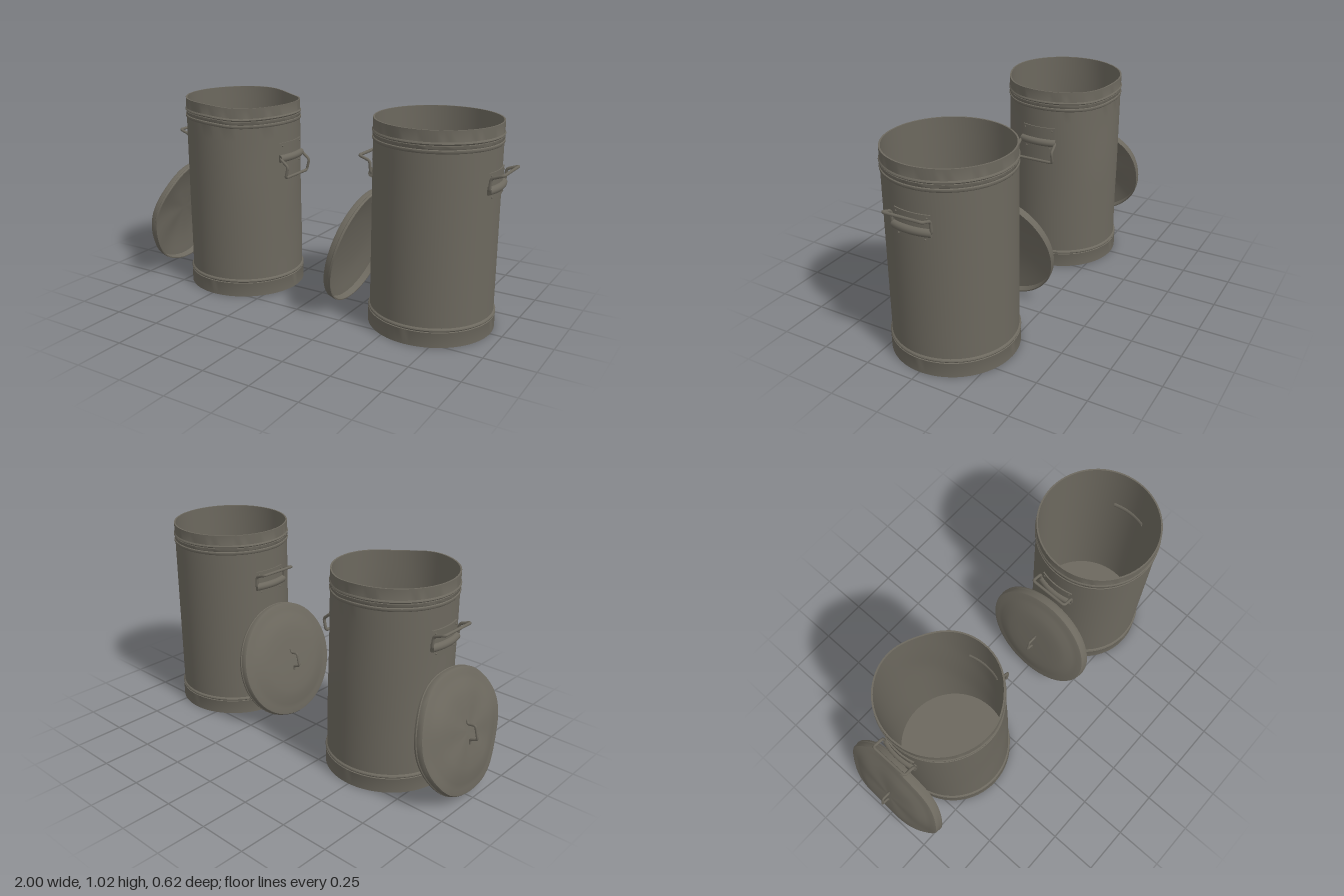
import * as THREE from 'three';
import { toCreasedNormals } from 'three/addons/utils/BufferGeometryUtils.js';

const metal = new THREE.MeshStandardMaterial({ color: 0x6c685e });
metal.name = 'dull metal';

function part(name, geometry, parent) {
  const mesh = new THREE.Mesh(geometry, metal);
  mesh.name = name;
  parent.add(mesh);
  return mesh;
}

// Turned shape; an optional rule moves the vertices to dent it
function turned(profile, dent) {
  const geo = new THREE.LatheGeometry(profile.map(([r, y]) => new THREE.Vector2(r, y)), 64);
  if (dent) {
    const pos = geo.attributes.position;
    const v = new THREE.Vector3();
    for (let i = 0; i < pos.count; i++) {
      dent(v.fromBufferAttribute(pos, i));
      pos.setXYZ(i, v.x, v.y, v.z);
    }
  }
  return toCreasedNormals(geo, 0.6);
}

// Wire following a polyline with rounded corners
function wire(points, corner, radius) {
  const p = points.map(a => new THREE.Vector3(...a));
  const path = new THREE.CurvePath();
  let from = p[0];
  for (let i = 1; i < p.length - 1; i++) {
    const a = p[i].clone().add(p[i - 1].clone().sub(p[i]).setLength(corner));
    const b = p[i].clone().add(p[i + 1].clone().sub(p[i]).setLength(corner));
    path.add(new THREE.LineCurve3(from, a));
    path.add(new THREE.QuadraticBezierCurve3(a, p[i], b));
    from = b;
  }
  path.add(new THREE.LineCurve3(from, p[p.length - 1]));
  return new THREE.TubeGeometry(path, 90, radius, 8);
}

// Thin plate wrapped round the can, centred on +x
function curvedPlate(y0, y1, halfAngle, r) {
  const profile = [[0.296, y0], [r, y0], [r, y1], [0.296, y1]].map(a => new THREE.Vector2(...a));
  return toCreasedNormals(new THREE.LatheGeometry(profile, 12, Math.PI / 2 - halfAngle, 2 * halfAngle), 0.6);
}

function makeHandle(wireAngle) {
  const g = new THREE.Group();
  g.name = 'sideHandle';
  part('bracketPlate', curvedPlate(0.74, 0.812, 0.305, 0.308), g);
  part('bracketFlap', curvedPlate(0.686, 0.72, 0.265, 0.308), g);

  // Rolled sleeve that holds the wire
  const half = 0.317, R = 0.307, tube = 0.02;
  const roll = new THREE.TorusGeometry(R, tube, 14, 16, 2 * half);
  roll.rotateX(Math.PI / 2).rotateY(half).translate(0, 0.731, 0);
  part('bracketRoll', roll, g);
  for (const s of [1, -1]) {
    const cap = part('rollEnd', new THREE.CircleGeometry(tube, 14), g);
    cap.position.set(R * Math.cos(half), 0.731, s * R * Math.sin(half));
    cap.rotation.y = s > 0 ? -half : Math.PI + half;
    for (const [y, z] of [[0.797, 0.078], [0.697, 0.068]]) {
      const rivet = part('rivet', new THREE.SphereGeometry(0.005, 8, 6), g);
      rivet.position.set(Math.sqrt(0.308 ** 2 - z * z), y, s * z);
    }
  }

  // Swinging wire grip
  const side = [[0, 0, 0.07], [0, 0, 0.1], [0.006, 0.06, 0.1], [0.064, 0.08, 0.1]];
  const mirrored = side.map(([x, y, z]) => [x, y, -z]).reverse();
  const grip = part('wireGrip', wire([...side, ...mirrored], 0.014, 0.0075), g);
  grip.position.set(0.298, 0.733, 0);
  grip.rotation.z = wireAngle;
  return g;
}

function makeCan(dent, rightWireAngle) {
  const g = new THREE.Group();
  g.name = 'can';
  const body = [];
  for (let i = 0; i <= 12; i++) body.push([0.302, 0.094 + i * 0.0685]);
  const inside = [];
  for (let i = 0; i <= 12; i++) inside.push([0.295, 1.02 - i * 0.0832]);
  const profile = [
    [0, 0], [0.31, 0], [0.31, 0.074], [0.305, 0.076],
    [0.309, 0.079], [0.311, 0.084], [0.309, 0.089], [0.303, 0.093],
    ...body,
    [0.306, 0.921], [0.307, 0.926], [0.306, 0.931], [0.3015, 0.934],
    [0.304, 0.938], [0.304, 0.951], [0.3015, 0.953],
    [0.306, 0.956], [0.308, 0.96], [0.306, 0.965], [0.303, 0.968],
    [0.303, 1.02], ...inside, [0, 0.0216],
  ];
  part('canBody', turned(profile, dent), g);
  g.add(makeHandle(rightWireAngle));
  const other = makeHandle(0);
  other.rotation.y = Math.PI;
  g.add(other);
  return g;
}

function makeLid(dent) {
  const g = new THREE.Group();
  g.name = 'lid';
  const profile = [
    [0, 0.066], [0.12, 0.064], [0.2, 0.056], [0.26, 0.042], [0.298, 0.034], [0.3, 0],
    [0.306, 0], [0.308, 0.01], [0.305, 0.014], [0.305, 0.034], [0.301, 0.041], [0.292, 0.044],
    [0.27, 0.046], [0.245, 0.053], [0.21, 0.064], [0.17, 0.071], [0.11, 0.073], [0.05, 0.074], [0, 0.074],
  ];
  part('lidCover', turned(profile, dent), g);
  // Arched wire knob with flared feet
  const knob = [[-0.06, 0.073, 0], [-0.038, 0.077, 0], [-0.034, 0.118, 0],
    [0.034, 0.118, 0], [0.038, 0.077, 0], [0.06, 0.073, 0]];
  part('lidHandle', wire(knob, 0.011, 0.0065), g);
  g.position.set(0.245, 0.315, 0);
  g.rotation.z = 1.321;
  return g;
}

// Sagging rim and shallow waves in the battered can
function dentCan(v) {
  const t = THREE.MathUtils.smoothstep(v.y, 0.5, 1);
  const a = Math.atan2(v.z, v.x);
  const mid = Math.sin(Math.PI * THREE.MathUtils.clamp((v.y - 0.09) / 0.93, 0, 1));
  const k = 1 - 0.012 * mid * Math.max(0, Math.sin(3 * a + 6 * v.y))
    - 0.05 * t * Math.exp(-(((a + 1.1) / 0.5) ** 2))
    - 0.03 * t * Math.exp(-(((a - 0.9) / 0.4) ** 2));
  v.y -= t * (0.018 * Math.exp(-(((v.x - 0.16) / 0.13) ** 2)) + 0.006 * Math.exp(-(((v.x - 0.3) / 0.1) ** 2)));
  v.x *= k;
  v.z *= k;
}

// Radiating creases and a bent edge in the battered lid
function dentLid(v) {
  const a = Math.atan2(v.z, v.x);
  const r = Math.hypot(v.x, v.z) / 0.305;
  const k = 1 - 0.018 * r * (0.5 + 0.5 * Math.sin(3 * a + 1));
  v.y += 0.005 * r * Math.sin(5 * a + 0.6) + 0.004 * r * r * Math.sin(2 * a);
  v.x *= k;
  v.z *= k;
}

export function createModel() {
  const model = new THREE.Group();
  model.name = 'metalCans';
  const sets = [
    { name: 'soundCan', x: 0, grip: 0 },
    { name: 'batteredCan', x: -1.12, can: dentCan, lid: dentLid, grip: -2.15 },
  ];
  for (const s of sets) {
    const g = new THREE.Group();
    g.name = s.name;
    const can = makeCan(s.can, s.grip);
    can.position.x = 0.63;
    g.add(can, makeLid(s.lid));
    g.position.x = s.x;
    model.add(g);
  }
  return model;
}
